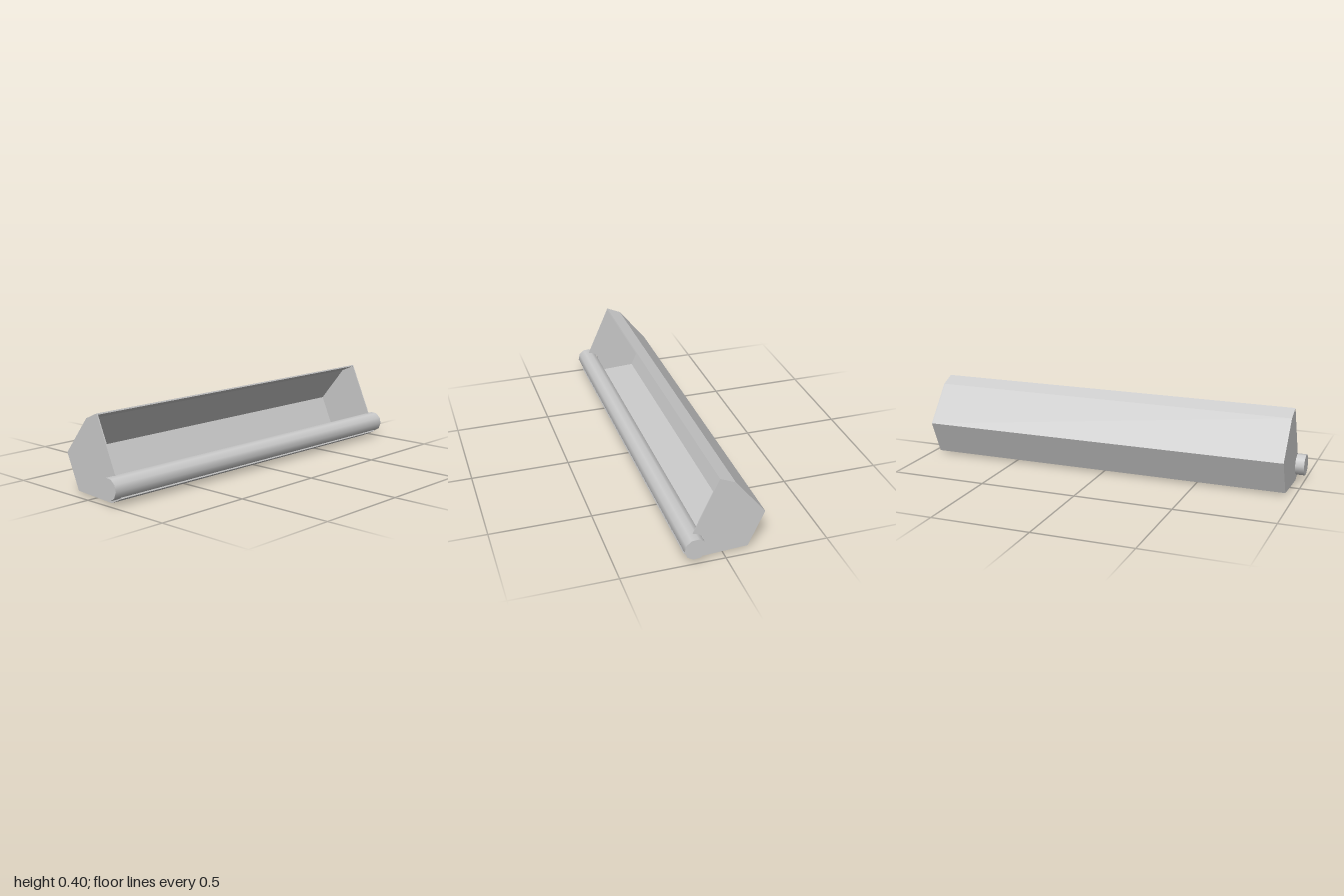
import * as THREE from 'three';

const material = new THREE.MeshStandardMaterial({ color: 0xcccccc, side: THREE.DoubleSide });
const HALF = 0.955; // half length of the trough
const WALL = 0.007; // sheet thickness
const PLATE = 0.006; // end plate thickness
const ROD = { x: 0.145, y: 0.08, r: 0.054 };

// Outer line of the bent sheet, from the upper edge round to the lower lip
const profile = [
  [0.024, 0.404], [-0.051, 0.371], [-0.2, 0.187],
  [-0.122, 0.013], [0.115, 0.001], [0.188, 0.035],
].map(([x, y]) => new THREE.Vector2(x, y));

// Offsets an open line to its inner side with mitred corners
function offsetLine(points, distance) {
  const normals = points.slice(1).map((p, i) => {
    const d = p.clone().sub(points[i]).normalize();
    return new THREE.Vector2(-d.y, d.x);
  });
  return points.map((p, i) => {
    const a = normals[Math.max(i - 1, 0)];
    const b = normals[Math.min(i, normals.length - 1)];
    return p.clone().addScaledVector(a.clone().add(b), distance / (1 + a.dot(b)));
  });
}

function extrude(name, shape, depth, z) {
  const geometry = new THREE.ExtrudeGeometry(shape, { depth, bevelEnabled: false, curveSegments: 6 });
  geometry.translate(0, 0, z);
  const mesh = new THREE.Mesh(geometry, material);
  mesh.name = name;
  return mesh;
}

export function createModel() {
  const model = new THREE.Group();
  model.name = 'trough';

  // Bent sheet forming the top, back, bottom and lip
  const inner = offsetLine(profile, WALL);
  const sheet = new THREE.Shape([...profile, ...inner.reverse()]);
  model.add(extrude('troughShell', sheet, 2 * (HALF - PLATE), -(HALF - PLATE)));

  // End plates, notched round the rod
  const plate = new THREE.Shape(profile);
  plate.lineTo(0.183, 0.041);
  plate.absarc(ROD.x, ROD.y, ROD.r, -0.79, Math.PI / 2, true);
  plate.closePath();
  model.add(extrude('frontEndPlate', plate, PLATE, HALF - PLATE));
  model.add(extrude('backEndPlate', plate, PLATE, -HALF));

  // Ten-sided rod along the open edge
  const rodGeometry = new THREE.CylinderGeometry(ROD.r, ROD.r, 2, 10);
  rodGeometry.rotateX(Math.PI / 2).rotateZ(0.23).translate(ROD.x, ROD.y, 0);
  const rod = new THREE.Mesh(rodGeometry, material);
  rod.name = 'rod';
  model.add(rod);

  return model;
}
